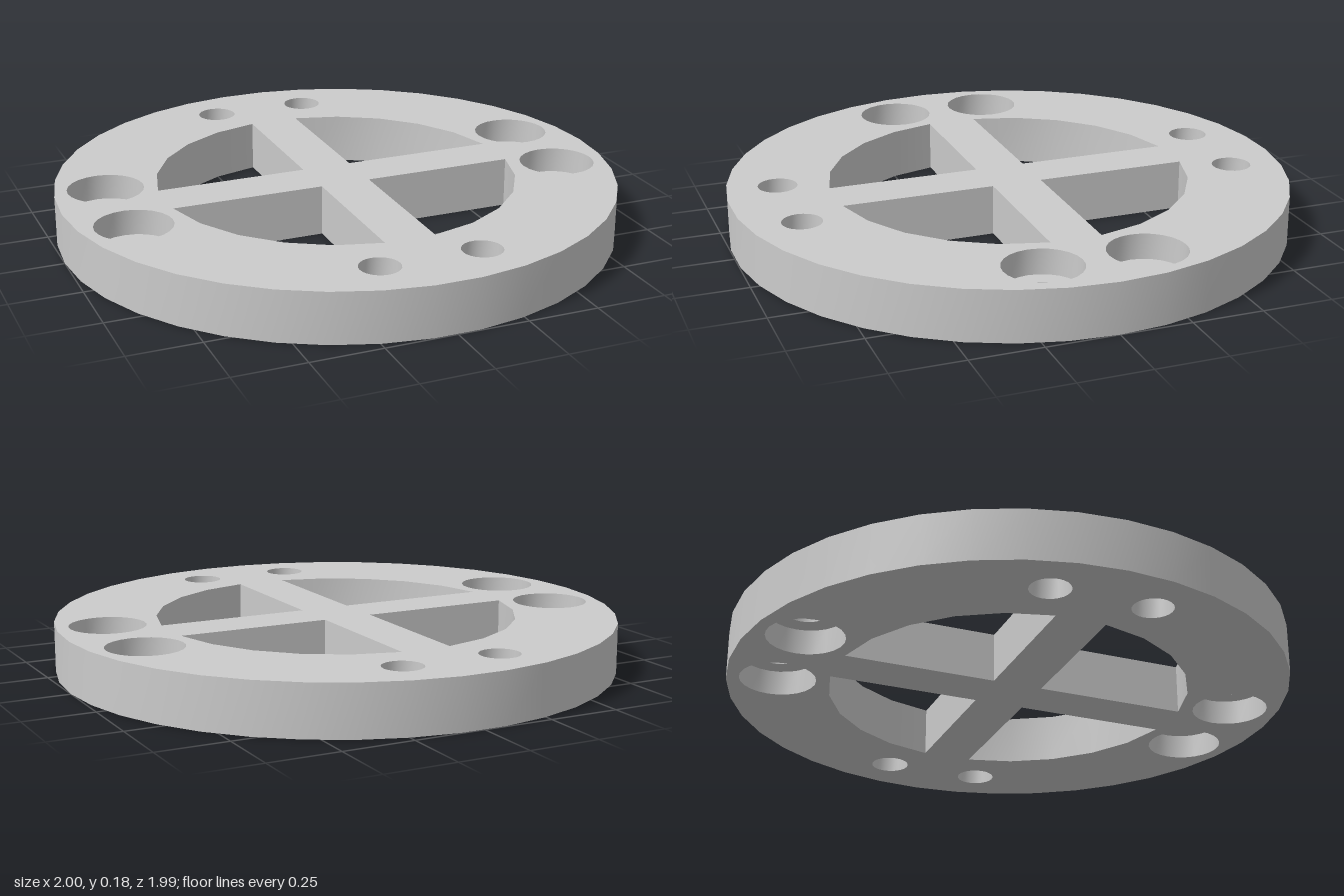
import * as THREE from 'three';
import { toCreasedNormals } from 'three/addons/utils/BufferGeometryUtils.js';

const HEIGHT = 0.18, SHELF = 0.09;       // plate thickness, counterbore floor
const RIM = 1, INNER = 0.642, SPOKE = 0.09; // radii and half width of a spoke
const BOLT = 0.07, BORE = 0.135;         // bolt hole and counterbore radii

// Points along an arc, anticlockwise; a full circle leaves out its repeated end
function arc(cx, cy, r, n, from = 0, to = Math.PI * 2, closed = false) {
  return Array.from({ length: closed ? n + 1 : n }, (_, i) => {
    const a = from + (to - from) * i / n;
    return new THREE.Vector2(cx + r * Math.cos(a), cy + r * Math.sin(a));
  });
}

// Flat face with holes, facing up or down
function face(outline, holes, y, up) {
  const shape = new THREE.Shape(outline);
  shape.holes = holes.map((h) => new THREE.Path(h));
  return new THREE.ShapeGeometry(shape).rotateX(up ? -Math.PI / 2 : Math.PI / 2).translate(0, y, 0);
}

// Upright wall round a loop; inward walls line the holes
function wall(loop, y0, y1, inward) {
  const pts = inward ? [...loop].reverse() : loop;
  const pos = [];
  pts.forEach((a, i) => {
    const b = pts[(i + 1) % pts.length];
    pos.push(a.x, a.y, y0, b.x, b.y, y0, b.x, b.y, y1);
    pos.push(a.x, a.y, y0, b.x, b.y, y1, a.x, a.y, y1);
  });
  const g = new THREE.BufferGeometry();
  g.setAttribute('position', new THREE.Float32BufferAttribute(pos, 3));
  return toCreasedNormals(g.rotateX(-Math.PI / 2), 0.5);
}

export function createModel() {
  const model = new THREE.Group();
  model.name = 'spokedMountingPlate';
  const material = new THREE.MeshStandardMaterial({ color: 0xcccccc });
  const add = (name, geometry) => {
    const mesh = new THREE.Mesh(geometry, material);
    mesh.name = name;
    model.add(mesh);
  };

  const rim = arc(0, 0, RIM, 38);

  // Four quarter openings between the spokes
  const trim = Math.asin(SPOKE / INNER);
  const quarter = [
    new THREE.Vector2(SPOKE, SPOKE),
    ...arc(0, 0, INNER, 5, trim, Math.PI / 2 - trim, true),
  ];
  const openings = [0, 1, 2, 3].map((k) =>
    quarter.map((p) => p.clone().rotateAround(new THREE.Vector2(), k * Math.PI / 2)));

  // Bolt holes: side pairs are counterbored from above, front and back pairs from below
  const topHoles = [], bottomHoles = [];
  for (const s of [-1, 1]) for (const t of [-1, 1]) {
    for (const fromTop of [true, false]) {
      const [x, y] = fromTop ? [0.8 * s, 0.18 * t] : [0.18 * t, 0.8 * s];
      const bolt = arc(x, y, BOLT, 24), bore = arc(x, y, BORE, 24);
      topHoles.push(fromTop ? bore : bolt);
      bottomHoles.push(fromTop ? bolt : bore);
      add('boltHole', wall(bolt, fromTop ? 0 : SHELF, fromTop ? SHELF : HEIGHT, true));
      add('counterbore', wall(bore, fromTop ? SHELF : 0, fromTop ? HEIGHT : SHELF, true));
      // Mirrored outline for the downward shelf is the same ring, turned over in place
      const ring = fromTop ? [bore, bolt] : [arc(x, -y, BORE, 24), arc(x, -y, BOLT, 24)];
      add('counterboreShelf', face(ring[0], [ring[1]], SHELF, fromTop));
    }
  }

  // Plate faces and walls
  add('topFace', face(rim, [...openings, ...topHoles], HEIGHT, true));
  add('bottomFace', face(rim, [...openings, ...bottomHoles], 0, false));
  add('rimWall', wall(rim, 0, HEIGHT, false));
  openings.forEach((o) => add('openingWall', wall(o, 0, HEIGHT, true)));
  return model;
}
